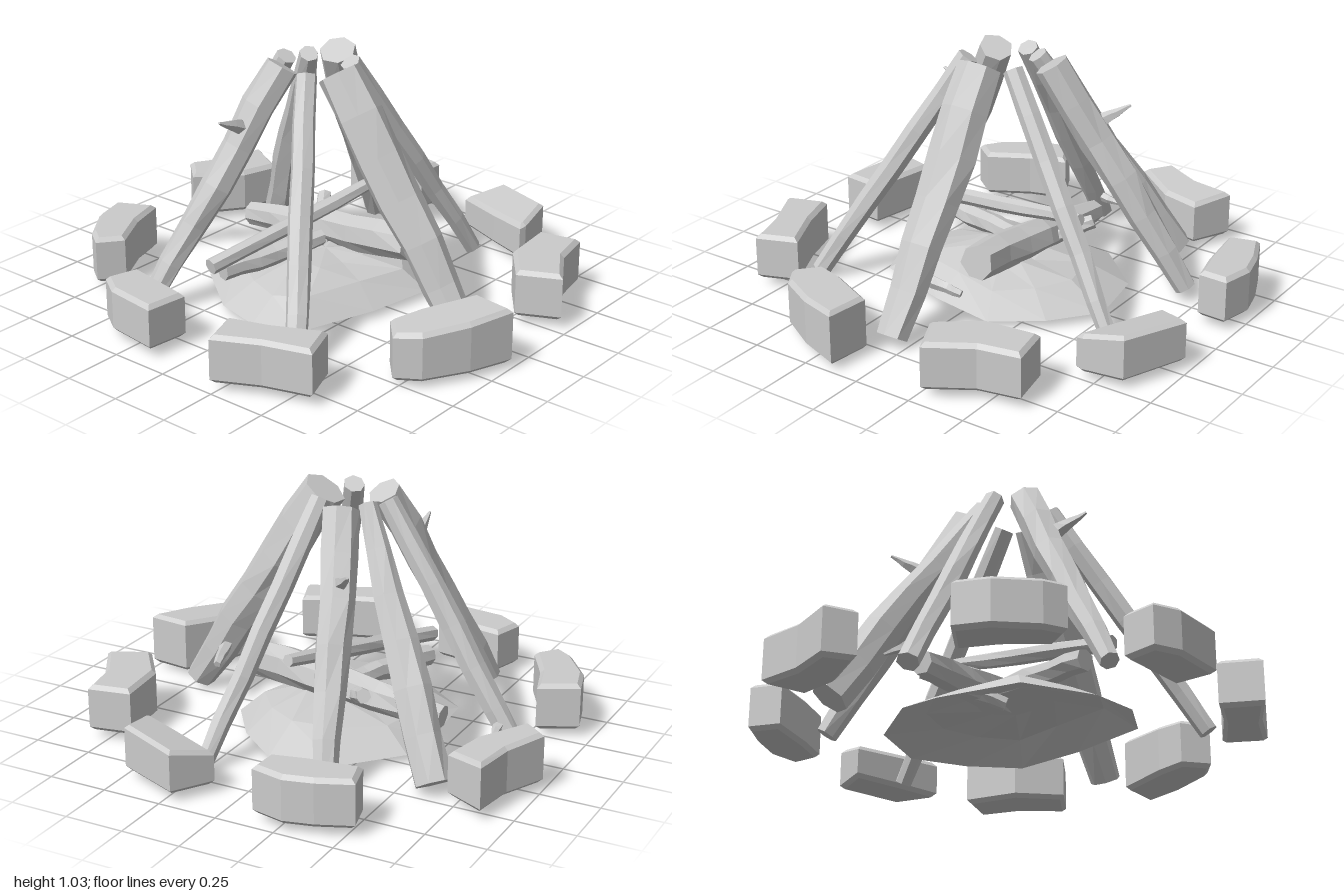
import * as THREE from 'three';

const material = new THREE.MeshStandardMaterial({ color: 0xcccccc, flatShading: true, side: THREE.DoubleSide });
const UP = new THREE.Vector3(0, 1, 0);

// Repeatable value in -1..1
function noise(n) {
  const s = Math.sin(n * 127.1 + 11.7) * 43758.5453;
  return (s - Math.floor(s)) * 2 - 1;
}

function addMesh(parent, geometry, name) {
  const mesh = new THREE.Mesh(geometry, material);
  mesh.name = name;
  parent.add(mesh);
  return mesh;
}

function addGroup(parent, name) {
  const group = new THREE.Group();
  group.name = name;
  parent.add(group);
  return group;
}

// Rough faceted log from point a (radius ra) to point b (radius rb), thicker midway
function addLog(parent, name, a, b, ra, rb, seed, sides = 7) {
  const from = new THREE.Vector3(...a), to = new THREE.Vector3(...b);
  const length = from.distanceTo(to), rings = 6;
  const g = new THREE.CylinderGeometry(rb, ra, length, sides, rings);
  const p = g.attributes.position;
  for (let i = 0; i < p.count; i++) {
    const x = p.getX(i), z = p.getZ(i), y = p.getY(i);
    const t = y / length + 0.5, ring = Math.round(t * rings);
    const side = (Math.round(Math.atan2(z, x) / (Math.PI * 2) * sides * 2) + sides * 2) % (sides * 2);
    const swell = 1 + 0.07 * noise(seed * 31 + ring * 17 + side) + 0.18 * Math.sin(t * Math.PI);
    const bend = ring > 0 && ring < rings ? 0.05 * (ra + rb) : 0;
    p.setX(i, x * swell + bend * noise(seed + ring * 3));
    p.setZ(i, z * swell + bend * noise(seed + ring * 5 + 40));
  }
  const mesh = addMesh(parent, g, name);
  mesh.position.copy(from).add(to).multiplyScalar(0.5);
  mesh.quaternion.setFromUnitVectors(UP, to.clone().sub(from).normalize());
}

// Bevelled stone: outline in [x, z], with a sloping top
function addStone(parent, outline, bottom, top, slopeX = 0, slopeZ = 0) {
  const bevel = 0.017;
  const shape = new THREE.Shape(outline.map(([x, z]) => new THREE.Vector2(x, -z)));
  const g = new THREE.ExtrudeGeometry(shape, {
    depth: top - bottom - 2 * bevel, bevelEnabled: true, bevelSegments: 1,
    bevelSize: bevel, bevelThickness: bevel, bevelOffset: -bevel,
  });
  g.rotateX(-Math.PI / 2);
  g.translate(0, bottom + bevel, 0);
  g.computeBoundingBox();
  const c = g.boundingBox.getCenter(new THREE.Vector3());
  const p = g.attributes.position;
  for (let i = 0; i < p.count; i++) {
    if (p.getY(i) > c.y) {
      p.setY(i, p.getY(i) + (p.getX(i) - c.x) * slopeX + (p.getZ(i) - c.z) * slopeZ);
    }
  }
  addMesh(parent, g, 'stone');
}

// Low ash mound, open underneath: an uneven rim shrunk and raised in rings
function addMound(parent) {
  const rim = [
    [-.52, .03], [-.45, .22], [-.12, .33], [.17, .38], [.36, .24], [.51, .05],
    [.46, -.23], [.24, -.43], [.07, -.45], [-.28, -.42], [-.47, -.17],
  ];
  const rings = [[1, 0.05], [0.72, 0.13], [0.32, 0.18]];
  const sides = rim.length, pos = [], index = [];
  rings.forEach(([r, y], k) => rim.forEach(([x, z], i) => {
    const s = k ? r * (1 + 0.08 * noise(i * 3 + k * 50)) : r;
    pos.push(x * s, y + (k ? 0.015 * noise(i + k * 9) : 0), z * s);
  }));
  pos.push(0, 0.19, -0.02);
  for (let i = 0; i < sides; i++) {
    const j = (i + 1) % sides;
    for (let k = 0; k < rings.length - 1; k++) {
      const o = k * sides, u = o + sides;
      index.push(o + i, o + j, u + i, o + j, u + j, u + i);
    }
    const last = (rings.length - 1) * sides;
    index.push(last + i, last + j, rings.length * sides);
  }
  const g = new THREE.BufferGeometry();
  g.setAttribute('position', new THREE.Float32BufferAttribute(pos, 3));
  g.setIndex(index);
  g.computeVertexNormals();
  addMesh(parent, g, 'ashMound');
}

export function createModel() {
  const model = new THREE.Group();
  model.name = 'campfire';

  // Ring of stones
  const stones = addGroup(model, 'stoneRing');
  [
    [[[-.645, -.72], [-.59, -.8], [-.44, -.91], [-.3, -.95], [-.22, -.79], [-.38, -.74], [-.55, -.645]], .05, .25],
    [[[.13, -.9], [.22, -1], [.39, -.92], [.57, -.89], [.49, -.72], [.32, -.76]], .05, .25, 0, -.1],
    [[[.77, -.505], [.9, -.54], [.96, -.4], [.99, -.28], [.96, -.14], [.835, -.145], [.8, -.29]], .05, .25],
    [[[.82, .11], [.98, .21], [.87, .485], [.7, .51], [.67, .5], [.735, .32]], .05, .215, .2, .12],
    [[[.2, .795], [.37, .665], [.6, .64], [.635, .82], [.46, .855], [.28, .965]], .05, .25],
    [[[-.53, .74], [-.435, .655], [-.31, .7], [-.095, .815], [-.12, 1], [-.3, .935], [-.47, .835]], .04, .255, .08],
    [[[-.99, .235], [-.82, .175], [-.765, .345], [-.67, .545], [-.84, .61], [-.9, .415]], .05, .25],
    [[[-.945, -.12], [-.915, -.35], [-.85, -.45], [-.71, -.41], [-.765, -.1]], .05, .24],
  ].forEach((s) => addStone(stones, ...s));

  addMound(model);

  // Leaning logs: foot, head, foot radius, head radius
  const tent = addGroup(model, 'leaningLogs');
  [
    [[-.05, .06, .71], [-.06, 1.0, .1], .066, .092],
    [[-.65, .06, -.41], [-.14, 1.0, -.13], .04, .07],
    [[-.68, .05, .39], [-.17, 1.0, .02], .04, .044],
    [[.68, .035, .25], [.07, 1.0, .05], .036, .042],
    [[.69, .07, -.3], [.16, 1.0, -.09], .045, .075],
    [[.44, .06, -.64], [.05, 1.0, -.15], .078, .04],
    [[-.02, .05, -.79], [-.03, 1.0, -.2], .045, .042],
  ].forEach(([a, b, ra, rb], i) => addLog(tent, 'leaningLog', a, b, ra, rb, i + 1));

  // Branch stubs: root, tip, root radius, tip radius
  [
    [[-.28, .76, -.2], [-.45, .83, -.19], .035, .006],
    [[.3, .74, -.15], [.43, .83, -.26], .035, .006],
    [[-.31, .74, .12], [-.17, .8, .04], .03, .006],
    [[-.03, .27, .55], [.14, .22, .51], .025, .016],
    [[-.02, .16, -.72], [.12, .13, -.74], .025, .006],
  ].forEach(([a, b, ra, rb], i) => addLog(tent, 'branchStub', a, b, ra, rb, i + 20, 5));

  // Firewood lying on the mound
  const firewood = addGroup(model, 'firewood');
  [
    [[.1, .28, .35], [.1, .18, -.52], .076, .05],
    [[-.54, .25, -.17], [.38, .42, .03], .033, .026],
    [[-.44, .19, -.2], [.02, .22, -.06], .045, .035],
    [[0, .15, -.05], [.27, .28, -.25], .03, .03],
  ].forEach(([a, b, ra, rb], i) => addLog(firewood, 'firewoodLog', a, b, ra, rb, i + 40));

  return model;
}
